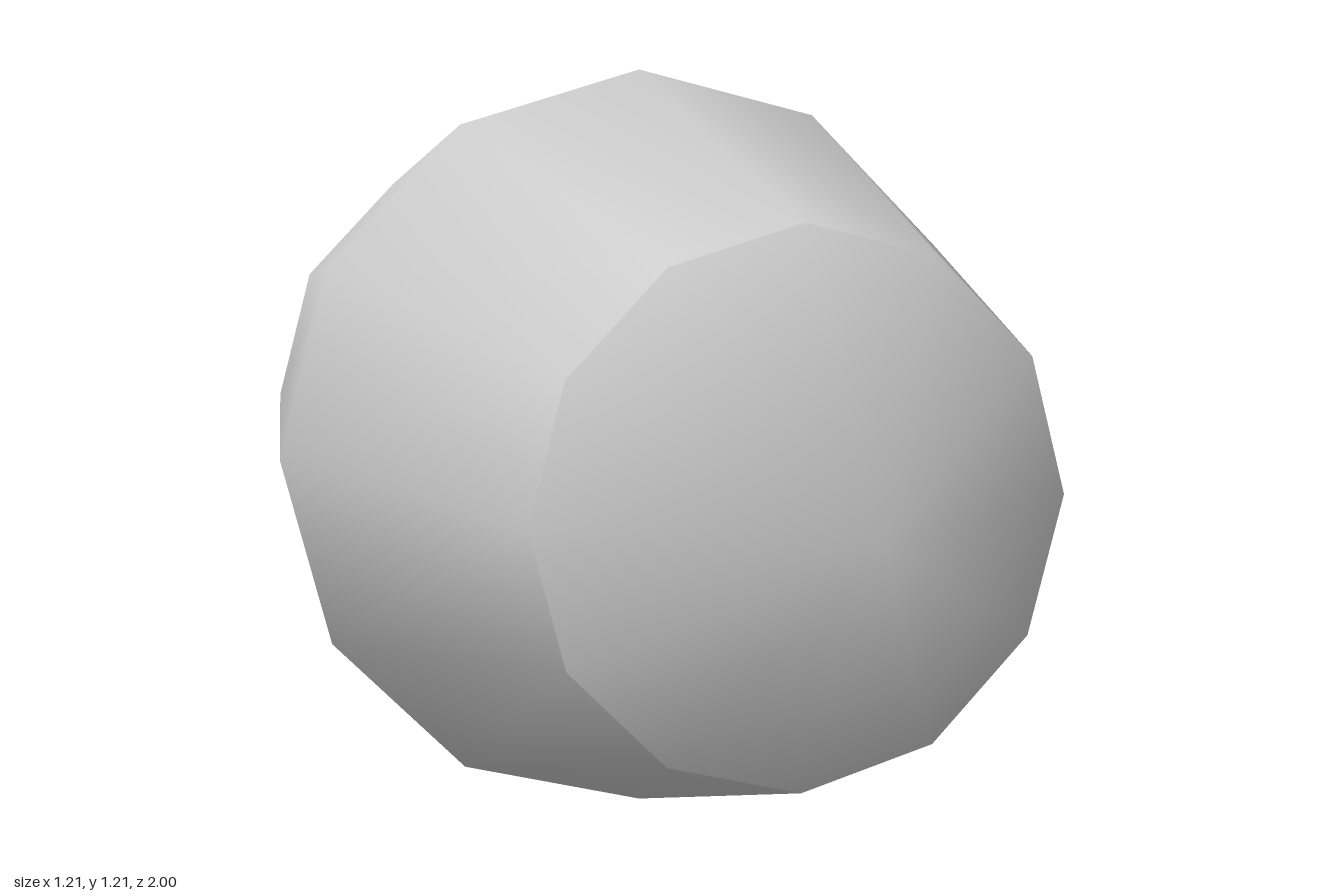
import * as THREE from 'three';
import { mergeVertices } from 'three/addons/utils/BufferGeometryUtils.js';

const SIDES = 12;
const MID_R = 0.607, END_R = 0.425, END_Z = 0.7, TIP_Z = 1;

// Pointed end whose shading rounds smoothly over the tip
function capGeometry() {
  const cone = new THREE.ConeGeometry(END_R, TIP_Z - END_Z, SIDES, 1, true);
  cone.deleteAttribute('normal');
  cone.deleteAttribute('uv');
  const cap = mergeVertices(cone);
  cap.computeVertexNormals();
  cap.translate(0, (TIP_Z + END_Z) / 2, 0);
  return cap;
}

export function createModel() {
  const model = new THREE.Group();
  model.name = 'taperedCapsule';
  const grey = new THREE.MeshStandardMaterial({ color: 0xcccccc });
  grey.name = 'light grey';

  // Barrel, widest in the middle
  const profile = [[END_R, -END_Z], [MID_R, 0], [END_R, END_Z]]
    .map(([r, y]) => new THREE.Vector2(r, y));
  const barrel = new THREE.Mesh(new THREE.LatheGeometry(profile, SIDES), grey);
  barrel.name = 'barrel';
  barrel.rotation.x = Math.PI / 2;
  barrel.position.y = MID_R;
  model.add(barrel);

  // Front and back points
  for (const [name, dir] of [['frontCap', 1], ['backCap', -1]]) {
    const cap = new THREE.Mesh(capGeometry(), grey);
    cap.name = name;
    cap.rotation.x = dir * Math.PI / 2;
    cap.position.y = MID_R;
    model.add(cap);
  }
  return model;
}
